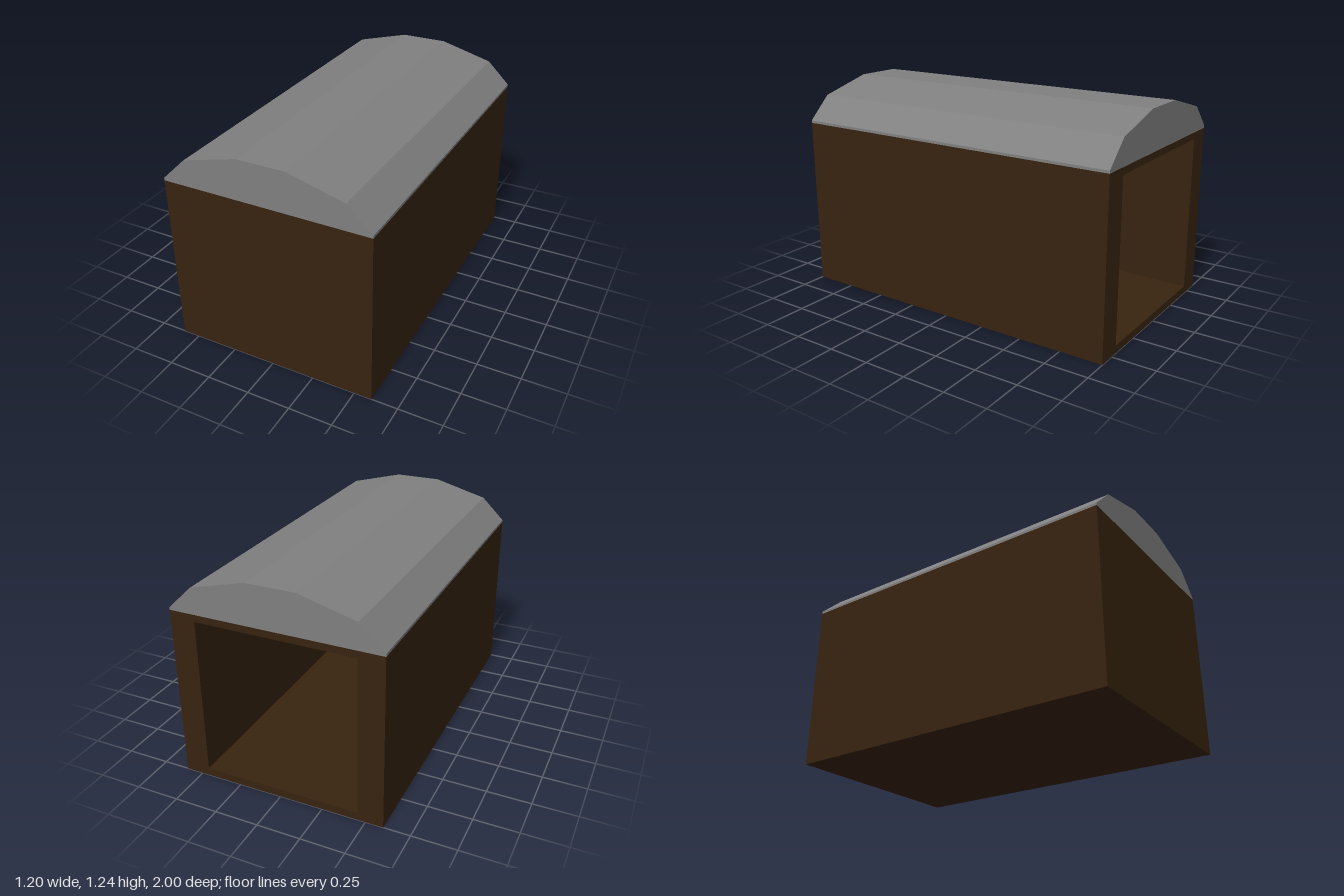
import * as THREE from 'three';

export function createModel() {
  const group = new THREE.Group();
  const wood = new THREE.MeshStandardMaterial({ color: 0x38240f });
  wood.name = 'dark brown';
  const grey = new THREE.MeshStandardMaterial({ color: 0x808080 });
  grey.name = 'roof grey';

  // Mirror a right-hand half profile (listed from the outside inwards) into a full arch
  const arch = (half) => [...half, ...half.map(([x, y]) => [-x, y]).reverse()];
  const toPoints = (list) => list.map(([x, y]) => new THREE.Vector2(x, y));

  // Extrude a front-facing outline between two depths
  function slab(name, outline, z0, z1, material, hole) {
    const shape = new THREE.Shape(toPoints(outline));
    if (hole) shape.holes.push(new THREE.Path(toPoints(hole)));
    const geometry = new THREE.ExtrudeGeometry(shape, { depth: z1 - z0, bevelEnabled: false });
    geometry.translate(0, 0, z0);
    const mesh = new THREE.Mesh(geometry, material);
    mesh.name = name;
    group.add(mesh);
  }

  const W = 0.6, IN = 0.455, FLOOR = 0.045, LINTEL = 0.96;
  const BACK = -0.98, FRONT = 0.9; // ends of the hollow interior
  const wall = [[-W, 0], [W, 0], [W, 1], [-W, 1]];
  const opening = [[-IN, FLOOR], [IN, FLOOR], [IN, LINTEL], [-IN, LINTEL]];
  const outer = arch([[W, 1], [W, 1.015], [0.46, 1.15], [0.14, 1.235]]);
  const inner = arch([[IN, LINTEL], [0.35, 1.06], [0.106, 1.13]]);

  // Body: floor with two side walls, closed front, back frame with the opening
  slab('floorAndSideWalls', [
    [-W, 0], [W, 0], [W, 1], [IN, LINTEL], [IN, FLOOR],
    [-IN, FLOOR], [-IN, LINTEL], [-W, 1],
  ], BACK, FRONT, wood);
  slab('frontWall', wall, FRONT, 1, wood);
  slab('backFrame', wall, -1, BACK, wood, opening);

  // Roof: faceted vault shell with a solid gable at each end
  slab('roofVault', [...outer, ...inner.slice().reverse()], BACK, FRONT, grey);
  slab('frontGable', outer, FRONT, 1, grey);
  slab('backGable', outer, -1, BACK, grey);

  return group;
}
